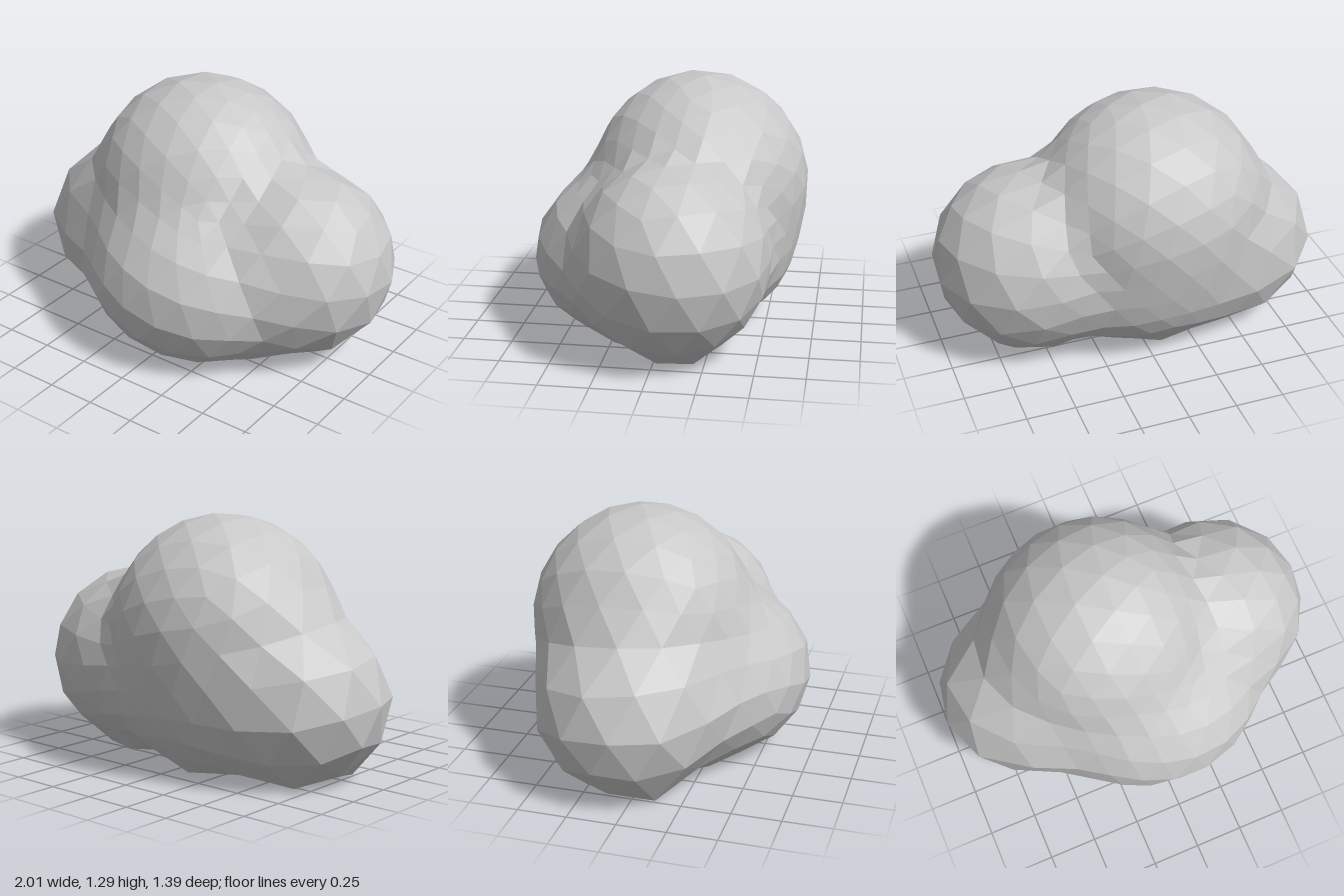
import * as THREE from 'three';

// Rounded lobes that melt together: centre, radii, blend width
const lobes = [
  { c: [-0.11, 0.71, -0.13], r: [0.59, 0.58, 0.565], k: 0 },    // tall crown
  { c: [-0.10, 0.42, -0.10], r: [0.70, 0.45, 0.54], k: 0.08 },  // base filling
  { c: [-0.55, 0.39, -0.08], r: [0.455, 0.42, 0.455], k: 0.15 }, // right side lobe
  { c: [0.07, 0.38, 0.24], r: [0.57, 0.42, 0.465], k: 0.16 },   // front lobe
  { c: [0.53, 0.485, -0.065], r: [0.485, 0.48, 0.485], k: 0.11 }, // left side lobe
];

// Approximate signed distance to the blended lobes
function field(p) {
  let d = Infinity;
  for (const { c, r, k } of lobes) {
    const q = Math.hypot((p.x - c[0]) / r[0], (p.y - c[1]) / r[1], (p.z - c[2]) / r[2]);
    const e = (q - 1) * Math.min(...r);
    const h = k ? Math.max(k - Math.abs(d - e), 0) / k : 0;
    d = Math.min(d, e) - h * h * k / 4;
  }
  return d;
}

export function createModel() {
  const group = new THREE.Group();
  const stone = new THREE.MeshStandardMaterial({ color: 0xc8c8c8 });
  stone.name = 'stone grey';
  stone.flatShading = true;

  // Faceted ball whose corners are pushed out to the lobes
  const geo = new THREE.IcosahedronGeometry(1, 4);
  geo.rotateZ(0.35);
  geo.rotateY(0.5);
  const pos = geo.attributes.position;
  const origin = new THREE.Vector3(0.08, 0.55, -0.05);
  const dir = new THREE.Vector3();
  const p = new THREE.Vector3();
  for (let i = 0; i < pos.count; i++) {
    dir.fromBufferAttribute(pos, i).normalize();
    let lo = 0, hi = 1.6;
    for (let n = 0; n < 26; n++) {
      const t = (lo + hi) / 2;
      p.copy(origin).addScaledVector(dir, t);
      if (field(p) < 0) lo = t; else hi = t;
    }
    p.copy(origin).addScaledVector(dir, lo);
    // Press the underside flat
    pos.setXYZ(i, p.x, p.y < 0.05 ? 0 : p.y, p.z);
  }
  geo.computeVertexNormals();

  const boulder = new THREE.Mesh(geo, stone);
  boulder.name = 'boulder';
  group.add(boulder);
  return group;
}
